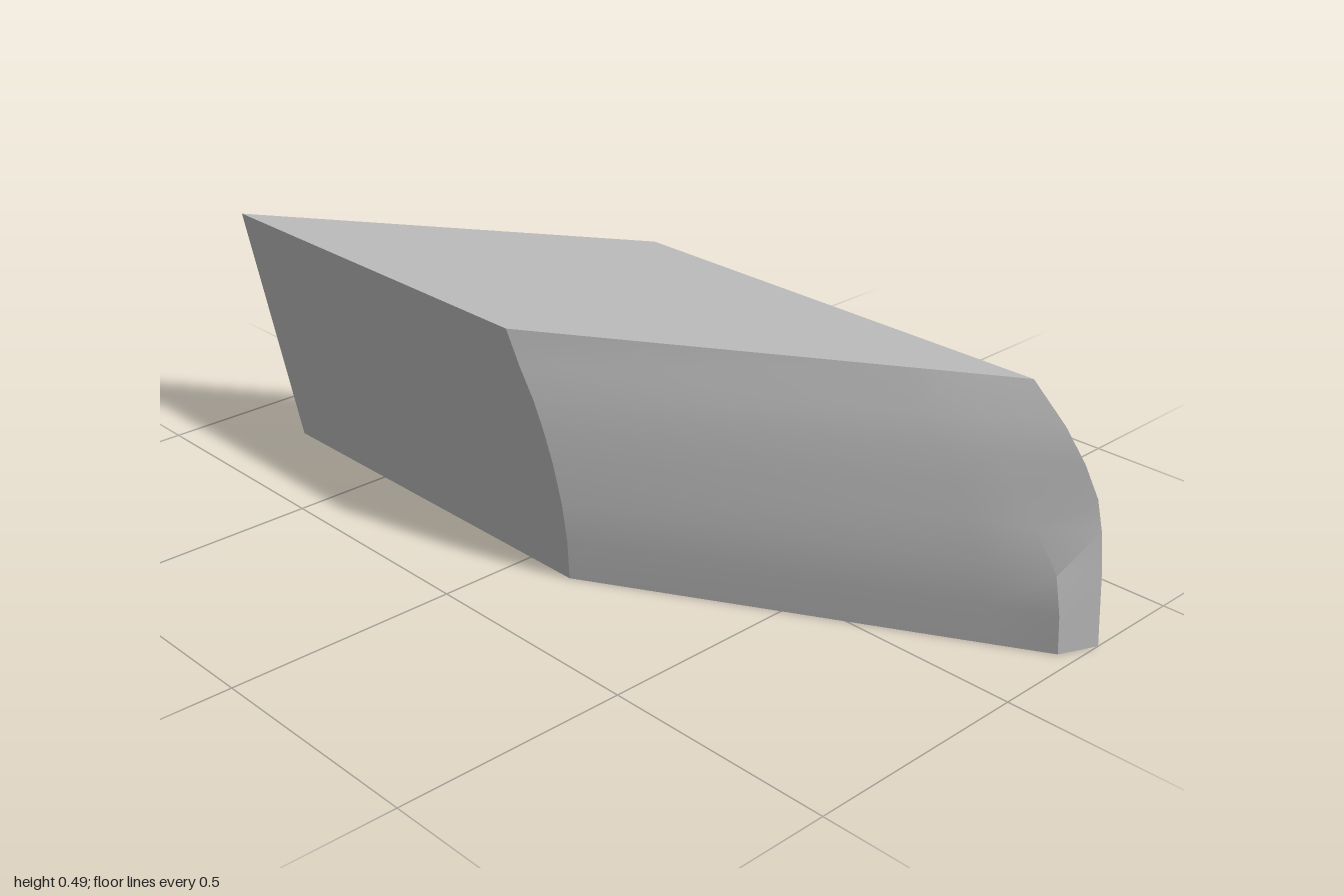
import * as THREE from 'three';
import { toCreasedNormals } from 'three/addons/utils/BufferGeometryUtils.js';

// Heights of the profile rows, and the curved side's x at each height per depth
const HEIGHTS = [0, 0.08, 0.16, 0.24, 0.3, 0.36, 0.42, 0.49];
const SECTIONS = [
  { z: 0.28, x: [0.12, 0.115, 0.1, 0.075, 0.05, 0.02, -0.02, -0.06] },
  { z: -0.14, x: [0.86, 0.845, 0.82, 0.77, 0.736, 0.7, 0.655, 0.585] },
  { z: -0.2, x: [0.965, 0.96, 0.945, 0.89, 0.836, 0.803, 0.752, 0.677] },
  { z: -0.28, x: [1, 0.995, 0.99, 0.98, 0.965, 0.93, 0.88, 0.8] },
];
const CENTRE = new THREE.Vector3(0, 0.25, 0);

// Convex solid: every triangle is turned to face away from the centre
function addTriangle(out, a, b, c) {
  const normal = b.clone().sub(a).cross(c.clone().sub(a));
  const middle = a.clone().add(b).add(c).divideScalar(3).sub(CENTRE);
  const order = normal.dot(middle) >= 0 ? [a, b, c] : [a, c, b];
  order.forEach((p) => out.push(p.x, p.y, p.z));
}

function addFan(out, points) {
  for (let i = 1; i < points.length - 1; i++) addTriangle(out, points[0], points[i], points[i + 1]);
}

function toGeometry(positions) {
  const geometry = new THREE.BufferGeometry();
  geometry.setAttribute('position', new THREE.Float32BufferAttribute(positions, 3));
  geometry.computeVertexNormals();
  return geometry;
}

export function createModel() {
  const group = new THREE.Group();
  group.name = 'slantedBlock';
  const grey = new THREE.MeshStandardMaterial({ color: 0xbbbbbb });
  grey.name = 'grey';

  function addMesh(name, geometry) {
    const mesh = new THREE.Mesh(geometry, grey);
    mesh.name = name;
    group.add(mesh);
  }

  const grid = SECTIONS.map((s) => HEIGHTS.map((y, i) => new THREE.Vector3(s.x[i], y, s.z)));
  const last = HEIGHTS.length - 1;
  const v = (x, y, z) => new THREE.Vector3(x, y, z);

  // Corners of the slanted side; its rear edge curls under at the foot
  const frontTop = v(-1, 0.49, 0.28);
  const frontFoot = v(-0.81, 0, 0.28);
  const rearEdge = [v(-0.22, 0.49, -0.28), v(-0.105, 0.065, -0.28), v(-0.088, 0.025, -0.28), v(-0.065, 0, -0.28)];

  // Flat faces, each a fan of corners
  const faces = {
    frontFace: [frontTop, frontFoot, ...grid[0]],
    backFace: [...rearEdge, ...grid[3]],
    topFace: [frontTop, ...grid.map((row) => row[last]), rearEdge[0]],
    bottomFace: [frontFoot, ...grid.map((row) => row[0]), rearEdge[3]],
    slantedFace: [frontTop, rearEdge[0], rearEdge[1], frontFoot],
    slantedFoot: [frontFoot, ...rearEdge.slice(1)],
  };
  for (const [name, points] of Object.entries(faces)) {
    const positions = [];
    addFan(positions, points);
    addMesh(name, toGeometry(positions));
  }

  // Curved side with its chamfered rear corner
  const side = [];
  for (let s = 0; s < grid.length - 1; s++) {
    for (let i = 0; i < last; i++) {
      addFan(side, [grid[s][i], grid[s][i + 1], grid[s + 1][i + 1], grid[s + 1][i]]);
    }
  }
  addMesh('curvedSide', toCreasedNormals(toGeometry(side), 0.5));

  return group;
}
